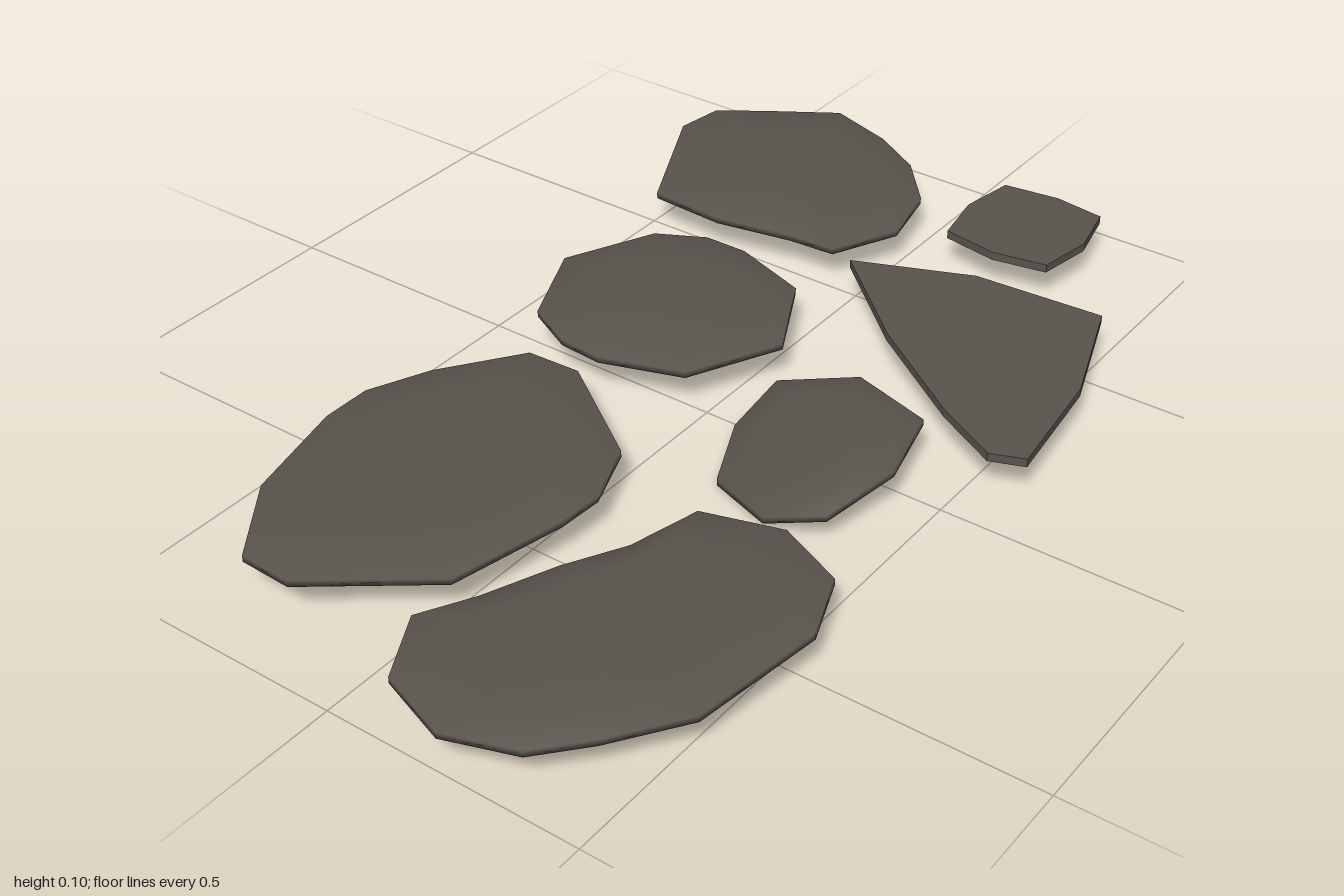
import * as THREE from 'three';

const stoneMaterial = new THREE.MeshStandardMaterial({ color: 0x59534d });
stoneMaterial.name = 'dark stone';

// Slab from an [x, z] outline (clockwise from above), lofted through
// rings [scale, y] between a bottom and a top centre point.
function slab(name, outline, { rings, bottom, top, smooth = true, lift = () => 0 }) {
  const n = outline.length;
  const cx = outline.reduce((s, p) => s + p[0], 0) / n;
  const cz = outline.reduce((s, p) => s + p[1], 0) / n;
  const pos = [], index = [];
  const add = (x, y, z) => pos.push(x, y + lift(x, z), z);
  add(cx, bottom, cz);
  for (const [s, y] of rings)
    for (const [x, z] of outline) add(cx + (x - cx) * s, y, cz + (z - cz) * s);
  add(cx, top, cz);
  const at = (k, i) => 1 + k * n + (i % n);
  const last = rings.length - 1, peak = 1 + rings.length * n;
  for (let i = 0; i < n; i++) {
    index.push(0, at(0, i), at(0, i + 1));
    for (let k = 0; k < last; k++) {
      index.push(at(k, i + 1), at(k, i), at(k + 1, i));
      index.push(at(k, i + 1), at(k + 1, i), at(k + 1, i + 1));
    }
    index.push(at(last, i + 1), at(last, i), peak);
  }
  let geo = new THREE.BufferGeometry();
  geo.setAttribute('position', new THREE.Float32BufferAttribute(pos, 3));
  geo.setIndex(index);
  if (!smooth) geo = geo.toNonIndexed();
  geo.computeVertexNormals();
  const mesh = new THREE.Mesh(geo, stoneMaterial);
  mesh.name = name;
  return mesh;
}

// Softly domed, smooth-shaded stone
const domed = (top = 0.093) => ({
  rings: [[0.7, 0.064], [1, 0.069], [1, 0.082], [0.7, 0.089]], bottom: 0.063, top,
});
// Flat, sharp-edged stone
const flat = { rings: [[1, 0.068], [1, 0.085]], bottom: 0.068, top: 0.085, smooth: false };

export function createModel() {
  const group = new THREE.Group();
  group.name = 'steppingStones';
  group.add(
    slab('backRightStone', [[-.87, -.305], [-.715, -.417], [-.5, -.47], [-.4, -.47], [-.28, -.417],
      [-.13, -.31], [-.125, -.2], [-.275, .016], [-.4, .064], [-.49, .059], [-.714, .01], [-.874, -.2]], domed()),
    slab('backMiddleStone', [[.17, -.47], [.35, -.385], [.4, -.29], [.4, -.2], [.345, -.04],
      [.17, .05], [-.013, -.04], [-.067, -.2], [-.06, -.29], [-.01, -.39]], domed(0.1)),
    slab('backLeftStone', [[.485, -.48], [.75, -.61], [.85, -.595], [.91, -.51], [1, -.37], [.955, -.23],
      [.89, -.12], [.785, -.03], [.645, 0], [.51, -.065], [.505, -.16], [.475, -.32]], domed()),
    slab('frontRightStone', [[-.95, .09], [-.82, -.02 + .04], [-.72, .075], [-.585, .13], [-.475, .19], [-.335, .225],
      [-.29, .375], [-.35, .51], [-.48, .56], [-.74, .525], [-.87, .435], [-.955, .36], [-1, .23]], domed()),
    // Stone sunk towards its back right corner
    slab('tiltedStone', [[-.17, .145], [-.025, .08], [.115, .075], [.165, .225], [.115, .39],
      [-.045, .43], [-.2, .395], [-.237, .29]],
      { ...domed(), lift: (x, z) => Math.min(0, -.026 + .143 * (x + .04) + .22 * (z - .25)) }),
    slab('triangularStone', [[.49, -.01], [.585, .22], [.6, .485], [.36, .57], [.115, .6],
      [.09, .535], [.16, .405], [.31, .19]], flat),
    slab('smallStone', [[.7, .085], [.815, .065], [.93, .085], [.945, .2], [.93, .305],
      [.815, .33], [.7, .31], [.68, .2]], flat),
  );
  return group;
}
